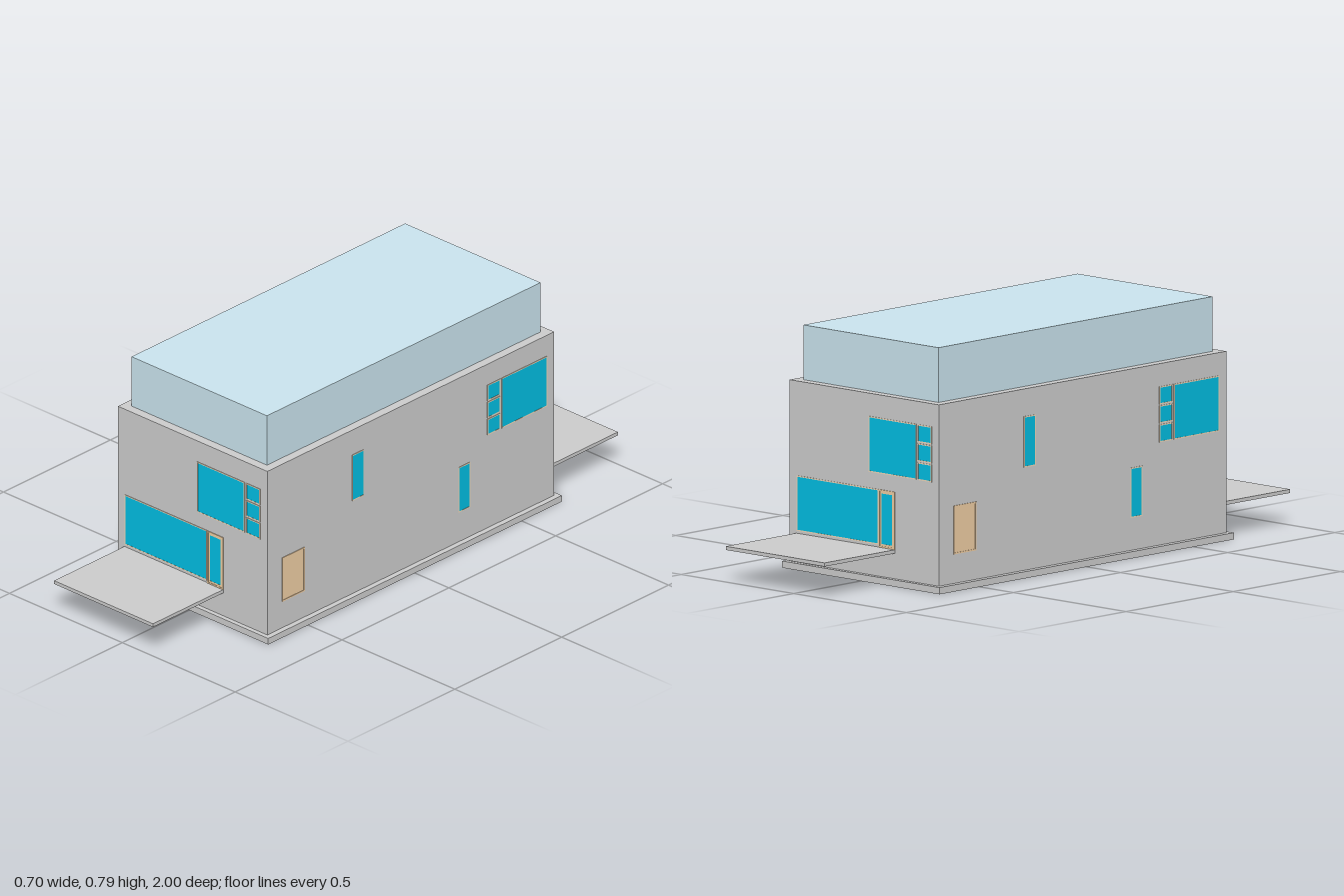
import * as THREE from 'three';

const material = (color) => new THREE.MeshStandardMaterial({ color });

function add(parent, name, geometry, mat) {
  const mesh = new THREE.Mesh(geometry, mat);
  mesh.name = name;
  parent.add(mesh);
  return mesh;
}

// Box given by its limits on each axis
function block(parent, name, mat, x0, x1, y0, y1, z0, z1) {
  const mesh = add(parent, name, new THREE.BoxGeometry(x1 - x0, y1 - y0, z1 - z0), mat);
  mesh.position.set((x0 + x1) / 2, (y0 + y1) / 2, (z0 + z1) / 2);
  return mesh;
}

const polygon = (points) => points.map(([x, y]) => new THREE.Vector2(x, y));
const rectangle = (x0, x1, y0, y1) => polygon([[x0, y0], [x1, y0], [x1, y1], [x0, y1]]);

// Flat rectangular rim on the local plane z = 0
function rim(parent, name, mat, x0, x1, y0, y1, width, depth) {
  const shape = new THREE.Shape(rectangle(x0, x1, y0, y1));
  shape.holes.push(new THREE.Path(rectangle(x0 + width, x1 - width, y0 + width, y1 - width)));
  add(parent, name, new THREE.ExtrudeGeometry(shape, { depth, bevelEnabled: false }), mat);
}

export function createModel() {
  const model = new THREE.Group();
  model.name = 'house';
  const grey = material(0xcccccc);
  const blue = material(0x00bce1);
  const tan = material(0xeecda3);
  const paleTan = material(0xead6ba);
  const paleBlue = material(0xc9e3ed);

  // Hollow base: two rooms open below, parted by a Z-shaped wall.
  // The inset widens the rooms where the walls are thinner than the footing.
  function hollowBase(name, halfX, halfZ, y0, y1, inset) {
    const x = 0.27 + inset, z = 0.605 + inset, link = 0.035 - inset;
    const near = 0.115 - inset, far = -0.04 - inset;
    const room = [[-x, near], [link, near], [link, far], [x, far], [x, z], [-x, z]];
    const shape = new THREE.Shape(rectangle(-halfX, halfX, -halfZ, halfZ));
    for (const s of [1, -1]) shape.holes.push(new THREE.Path(polygon(room.map(([px, pz]) => [s * px, s * pz]))));
    const geometry = new THREE.ExtrudeGeometry(shape, { depth: y1 - y0, bevelEnabled: false });
    add(model, name, geometry.rotateX(Math.PI / 2).translate(0, y1, 0), grey);
  }
  hollowBase('foundation', 0.35, 0.687, 0, 0.022, 0);
  hollowBase('lowerWalls', 0.331, 0.671, 0.022, 0.105, 0.02);

  // Main walls and set-back upper storey
  block(model, 'walls', grey, -0.331, 0.331, 0.105, 0.615, -0.671, 0.671);
  block(model, 'upperStorey', paleBlue, -0.3, 0.3, 0.615, 0.794, -0.64, 0.64);

  // Window almost flush with the wall
  function glazed(parent, name, x0, x1, y0, y1) {
    const unit = new THREE.Group();
    unit.name = name;
    parent.add(unit);
    rim(unit, name + 'Frame', paleTan, x0, x1, y0, y1, 0.004, 0.0015);
    block(unit, name + 'Glass', blue, x0 + 0.003, x1 - 0.003, y0 + 0.003, y1 - 0.003, -0.002, 0.001);
  }

  // Column of three small panes
  function smallPanes(parent, x0, x1) {
    for (const [y0, y1] of [[0.358, 0.416], [0.42, 0.478], [0.482, 0.54]]) {
      glazed(parent, 'smallWindow', x0, x1, y0, y1);
    }
  }

  // Each end and its neighbouring side repeat after a half turn
  for (const [label, turn] of [['front', 0], ['back', Math.PI]]) {
    const half = new THREE.Group();
    half.name = label + 'Half';
    half.rotation.y = turn;
    model.add(half);

    block(half, 'terrace', grey, -0.302, 0.136, 0.105, 0.117, 0.671, 1);

    const end = new THREE.Group();
    end.name = 'endWallOpenings';
    end.position.z = 0.671;
    half.add(end);
    glazed(end, 'upperWindow', 0.02, 0.232, 0.358, 0.54);
    smallPanes(end, 0.237, 0.3);
    glazed(end, 'lowerWindow', -0.3, 0.064, 0.125, 0.306);
    rim(end, 'terraceDoorFrame', tan, 0.066, 0.136, 0.117, 0.306, 0.005, 0.0025);
    rim(end, 'terraceDoorLeaf', tan, 0.071, 0.131, 0.122, 0.301, 0.007, 0.0015);
    block(end, 'terraceDoorGlass', blue, 0.077, 0.125, 0.127, 0.295, -0.002, 0.001);

    const side = new THREE.Group();
    side.name = 'sideWallOpenings';
    side.position.x = 0.331;
    side.rotation.y = Math.PI / 2;
    half.add(side);
    rim(side, 'sideDoorFrame', tan, -0.602, -0.498, 0.117, 0.276, 0.005, 0.0025);
    block(side, 'sideDoorLeaf', tan, -0.598, -0.502, 0.117, 0.272, -0.002, 0.001);
    glazed(side, 'slimWindow', -0.275, -0.219, 0.358, 0.525);
    glazed(side, 'slimWindow', 0.223, 0.278, 0.128, 0.292);
    smallPanes(side, 0.358, 0.419);
    glazed(side, 'sideWindow', 0.425, 0.638, 0.358, 0.54);
  }
  return model;
}
